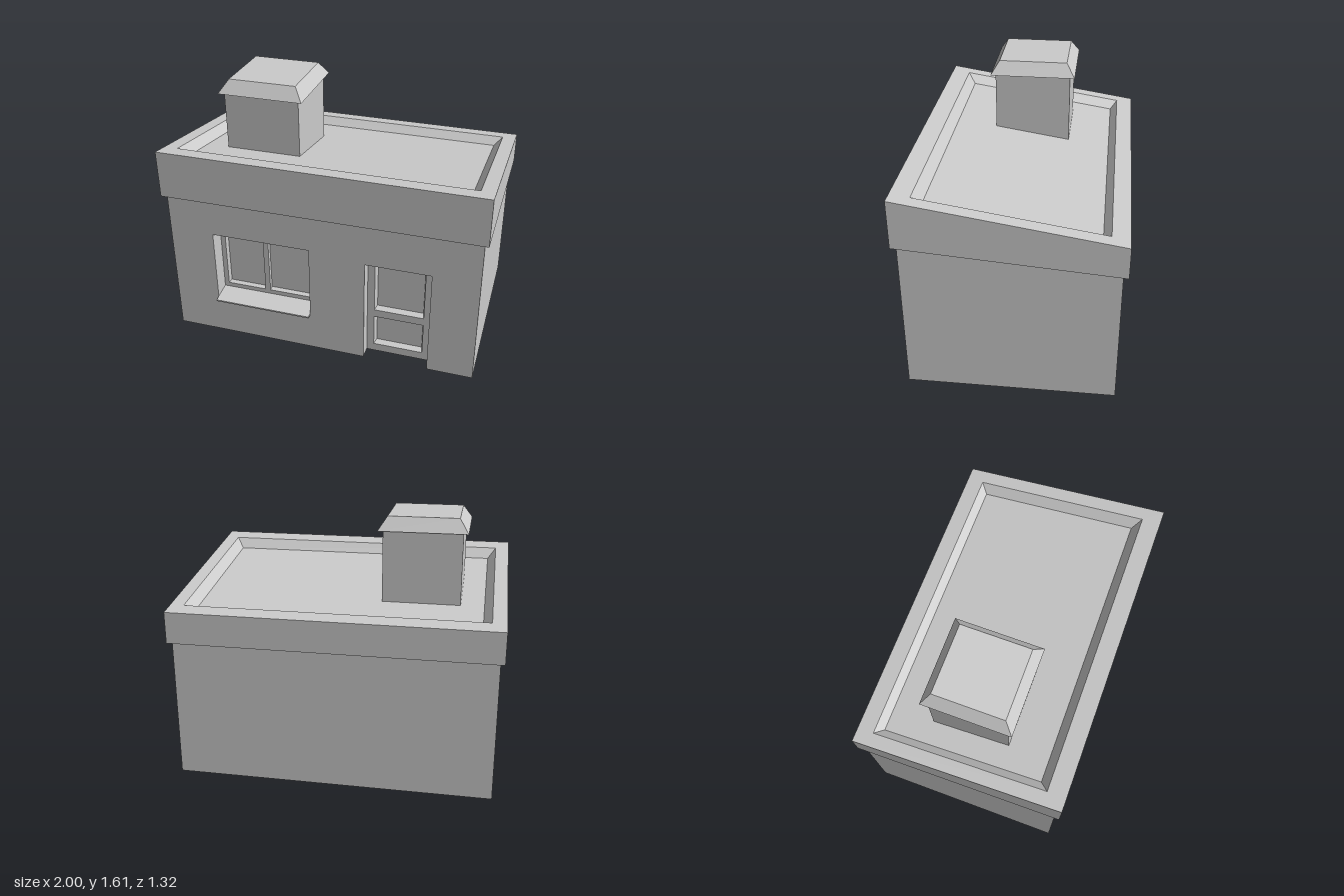
import * as THREE from 'three';

const material = new THREE.MeshStandardMaterial({ color: 0xcccccc, side: THREE.DoubleSide, flatShading: true });

function add(parent, name, geometry) {
  const mesh = new THREE.Mesh(geometry, material);
  mesh.name = name;
  parent.add(mesh);
  return mesh;
}

// Joins four-cornered rings with flat quads; skip leaves one side open, cap closes the last ring.
function loft(rings, { skip = [], cap = false } = {}) {
  const pos = [];
  const quad = (a, b, c, d) => pos.push(...a, ...b, ...c, ...a, ...c, ...d);
  for (let r = 0; r < rings.length - 1; r++) {
    for (let i = 0; i < 4; i++) {
      if (skip.includes(i)) continue;
      const j = (i + 1) % 4;
      quad(rings[r][i], rings[r][j], rings[r + 1][j], rings[r + 1][i]);
    }
  }
  if (cap) quad(...rings[rings.length - 1]);
  const geometry = new THREE.BufferGeometry();
  geometry.setAttribute('position', new THREE.Float32BufferAttribute(pos, 3));
  geometry.computeVertexNormals();
  return geometry;
}

// Plan ring whose height follows y(z), and upright ring at a fixed depth.
const plan = (x0, x1, z0, z1, y) => [[x0, y(z1), z1], [x1, y(z1), z1], [x1, y(z0), z0], [x0, y(z0), z0]];
const upright = ([x0, x1, y0, y1], z, inset = 0) => [
  [x0 + inset, y0 + inset, z], [x1 - inset, y0 + inset, z],
  [x1 - inset, y1 - inset, z], [x0 + inset, y1 - inset, z]];

// Flat upright sheet with rectangular holes.
function sheet(points, holes, z) {
  const shape = new THREE.Shape(points.map(p => new THREE.Vector2(...p)));
  for (const [x0, x1, y0, y1] of holes) {
    shape.holes.push(new THREE.Path([[x0, y0], [x0, y1], [x1, y1], [x1, y0]].map(p => new THREE.Vector2(...p))));
  }
  return new THREE.ShapeGeometry(shape).translate(0, 0, z);
}

export function createModel() {
  const house = new THREE.Group();
  house.name = 'house';

  const ground = () => 0;
  const eaves = z => 0.925 + 0.0763 * z;
  const roofTop = z => 1.1725 + 0.156 * z;
  const deck = z => roofTop(z) - 0.055;
  const W = 0.975, D = 0.625;

  // Walls: open-bottomed shell, the front sheet cut for window and door
  const windowRect = [-0.69, -0.065, 0.26, 0.735];
  const doorRect = [0.285, 0.69, 0, 0.7];
  const [dx0, dx1, , dy1] = doorRect;
  add(house, 'sideAndBackWalls', loft([plan(-W, W, -D, D, ground), plan(-W, W, -D, D, eaves)], { skip: [0] }));
  add(house, 'frontWall', sheet([[-W, 0], [dx0, 0], [dx0, dy1], [dx1, dy1], [dx1, 0], [W, 0],
    [W, eaves(D)], [-W, eaves(D)]], [windowRect], D));

  // Roof: soffit, fascia, rim and sunken sloping deck
  add(house, 'roof', loft([
    plan(-W, W, -D, D, eaves),
    plan(-1, 1, -0.655, 0.655, eaves),
    plan(-1, 1, -0.655, 0.655, roofTop),
    plan(-0.915, 0.915, -0.55, 0.54, roofTop),
    plan(-0.865, 0.865, -0.505, 0.49, deck),
  ], { cap: true }));

  // Chimney with a flared cap
  const chimney = new THREE.Group();
  chimney.name = 'chimney';
  house.add(chimney);
  const under = () => 1.522, crown = () => 1.605;
  add(chimney, 'chimneyStack', loft([
    plan(-0.722, -0.243, -0.24, 0.24, deck), plan(-0.722, -0.243, -0.24, 0.24, under)]));
  add(chimney, 'chimneyCap', loft([
    plan(-0.722, -0.243, -0.24, 0.24, under),
    plan(-0.752, -0.213, -0.27, 0.27, under),
    plan(-0.696, -0.267, -0.216, 0.216, crown),
  ], { cap: true }));

  // Window: recess, frame and set-back glass, then mullion and sloping sill
  const win = new THREE.Group();
  win.name = 'window';
  house.add(win);
  const frameZ = 0.52, glassZ = 0.492;
  const glassRect = [-0.66, -0.103, 0.308, 0.694];
  add(win, 'windowFrameAndGlass', loft([
    upright(windowRect, D), upright(windowRect, frameZ),
    upright(glassRect, frameZ), upright(glassRect, glassZ, 0.008),
  ], { cap: true }));
  add(win, 'mullion', new THREE.BoxGeometry(0.034, 0.386, frameZ - glassZ))
    .position.set(-0.387, 0.501, (frameZ + glassZ) / 2);
  const sillProfile = new THREE.Shape([[-frameZ, 0.28], [-frameZ, 0.25], [-0.66, 0.25], [-0.66, 0.26]]
    .map(p => new THREE.Vector2(...p)));
  add(win, 'windowSill', new THREE.ExtrudeGeometry(sillProfile, { depth: 0.625, bevelEnabled: false })
    .rotateY(Math.PI / 2).translate(-0.69, 0, 0));

  // Door: recess open at the ground, leaf with two sunken panels
  const door = new THREE.Group();
  door.name = 'door';
  house.add(door);
  const doorZ = 0.545;
  const panels = [[0.33, 0.642, 0.32, 0.652], [0.33, 0.642, 0.053, 0.268]];
  add(door, 'doorReveal', loft([upright(doorRect, D), upright(doorRect, doorZ)], { skip: [0] }));
  add(door, 'doorLeaf', sheet([[dx0, 0], [dx1, 0], [dx1, dy1], [dx0, dy1]], panels, doorZ));
  for (const panel of panels) {
    add(door, 'doorPanel', loft([upright(panel, doorZ), upright(panel, doorZ - 0.04, 0.01)], { cap: true }));
  }

  return house;
}
